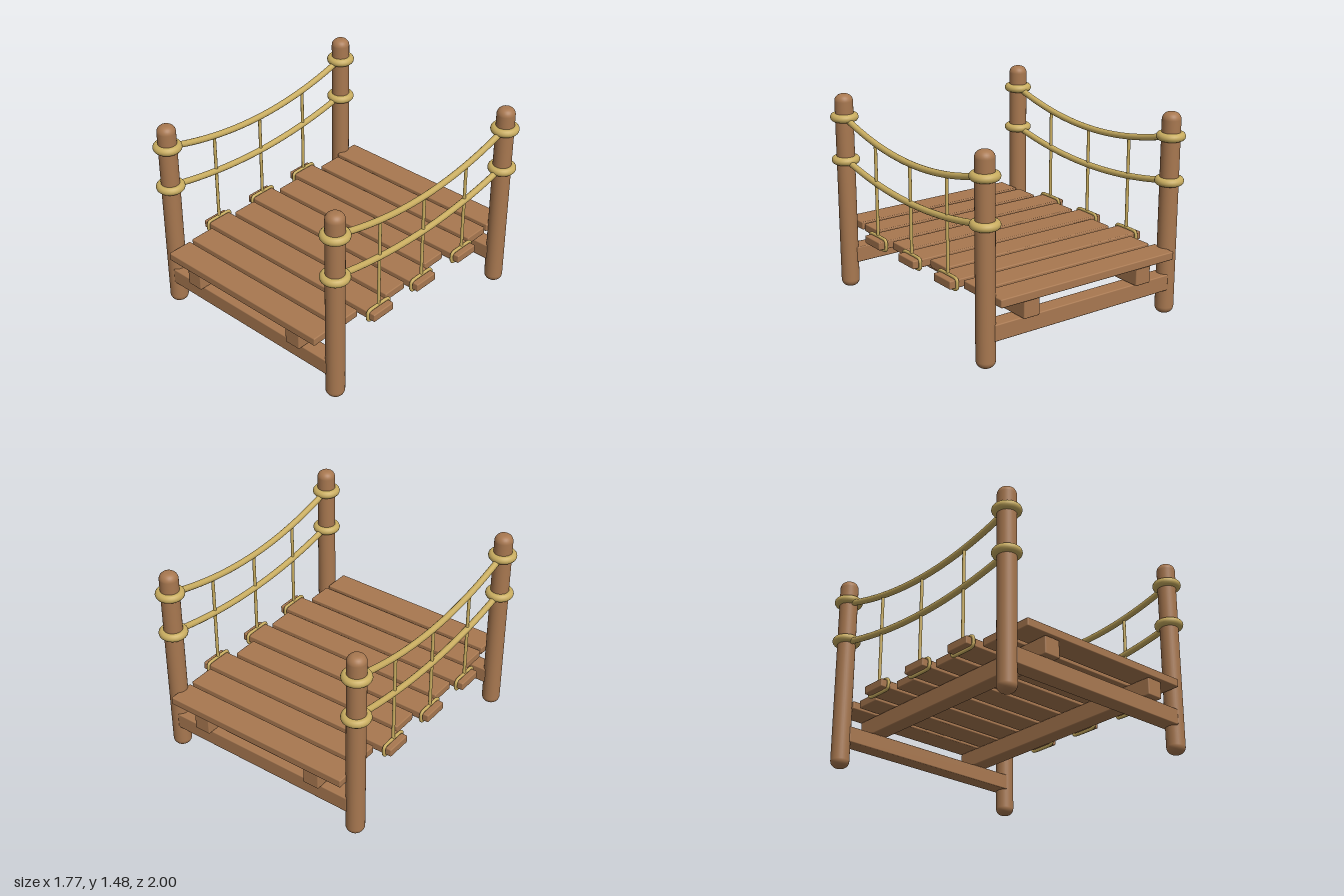
import * as THREE from 'three';
import { RoundedBoxGeometry } from 'three/addons/geometries/RoundedBoxGeometry.js';

export function createModel() {
  const model = new THREE.Group();
  model.name = 'ropeBridge';
  const wood = new THREE.MeshStandardMaterial({ name: 'wood', color: 0xa87850 });
  const rope = new THREE.MeshStandardMaterial({ name: 'rope', color: 0xc9ad60 });

  const add = (name, geometry, material, x = 0, y = 0, z = 0) => {
    const mesh = new THREE.Mesh(geometry, material);
    mesh.name = name;
    mesh.position.set(x, y, z);
    model.add(mesh);
    return mesh;
  };
  const beam = (w, h, d) => new RoundedBoxGeometry(w, h, d, 2, 0.008);

  const SIDE = 0.78, END = 0.88;
  const PLANK_Y = 0.472, PLANK_H = 0.06, PLANK_D = 0.196;

  // Round post profile with softened ends
  const R = 0.067, H = 1.475, ROUND = 0.052;
  const profile = [new THREE.Vector2(0, 0)];
  for (let i = 0; i <= 8; i++) {
    const a = (i / 8) * Math.PI / 2;
    profile.push(new THREE.Vector2(R - ROUND + ROUND * Math.sin(a), ROUND - ROUND * Math.cos(a)));
  }
  for (let i = 0; i <= 8; i++) {
    const a = (i / 8) * Math.PI / 2;
    profile.push(new THREE.Vector2(R - ROUND + ROUND * Math.cos(a), H - ROUND + ROUND * Math.sin(a)));
  }
  profile.push(new THREE.Vector2(0, H));
  const postGeometry = new THREE.LatheGeometry(profile, 32);
  const ringGeometry = new THREE.TorusGeometry(0.073, 0.03, 14, 36).rotateX(Math.PI / 2);

  // Hand ropes: height at the posts and sag in the middle
  const handRopes = [{ y: 1.305, sag: 0.139 }, { y: 0.985, sag: 0.103 }];
  const ropeHeight = ({ y, sag }, z) => y - sag * (1 - (z / END) ** 2);

  // Rope loop that wraps around a plank
  const lw = 0.108, lh = 0.041, lr = 0.025;
  const loopPoints = [];
  [[1, 1], [-1, 1], [-1, -1], [1, -1]].forEach(([sz, sy], q) => {
    for (let i = 0; i <= 4; i++) {
      const a = (q + i / 4) * Math.PI / 2;
      loopPoints.push(new THREE.Vector3(0,
        sy * (lh - lr) + lr * Math.sin(a), sz * (lw - lr) + lr * Math.cos(a)));
    }
  });
  const loopCurve = new THREE.CatmullRomCurve3(loopPoints, true, 'centripetal');
  const loopGeometry = new THREE.TubeGeometry(loopCurve, 64, 0.012, 8, true);

  for (const s of [-1, 1]) {
    const x = s * SIDE;

    // Posts with rope rings
    for (const e of [-1, 1]) {
      add('post', postGeometry, wood, x, 0, e * END);
      for (const h of handRopes) add('ropeRing', ringGeometry, rope, x, h.y, e * END);
    }

    // Sagging hand ropes
    for (const h of handRopes) {
      const points = [];
      for (let i = 0; i <= 12; i++) {
        const z = -END + (i / 12) * 2 * END;
        points.push(new THREE.Vector3(0, ropeHeight(h, z), z));
      }
      const curve = new THREE.CatmullRomCurve3(points);
      add('handRope', new THREE.TubeGeometry(curve, 40, 0.023, 12), rope, x);
    }

    // Hanging ropes tied to the long planks
    for (const z of [-0.45, 0, 0.45]) {
      const bottom = PLANK_Y + lh, top = ropeHeight(handRopes[0], z);
      add('hangerRope', new THREE.CylinderGeometry(0.012, 0.012, top - bottom, 10),
        rope, x, (top + bottom) / 2, z);
      add('plankLoop', loopGeometry, rope, x, PLANK_Y, z);
    }

    // Long bearer under the deck and cross beam between the posts
    add('bearer', beam(0.126, 0.128, 1.96), wood, s * 0.48, 0.375, 0);
    add('crossBeam', beam(1.5, 0.118, 0.125), wood, 0, 0.25, s * END);
  }

  // Deck planks, each with its left and right end, back to front
  const ends = [[-0.74, 0.74], [-0.71, 0.745], [-0.832, 0.832], [-0.725, 0.712], [-0.832, 0.832],
    [-0.745, 0.738], [-0.832, 0.832], [-0.72, 0.705], [-0.712, 0.705]];
  ends.forEach(([a, b], i) => {
    add('plank', beam(b - a, PLANK_H, PLANK_D), wood, (a + b) / 2, PLANK_Y, -0.902 + i * 0.2255);
  });

  return model;
}
